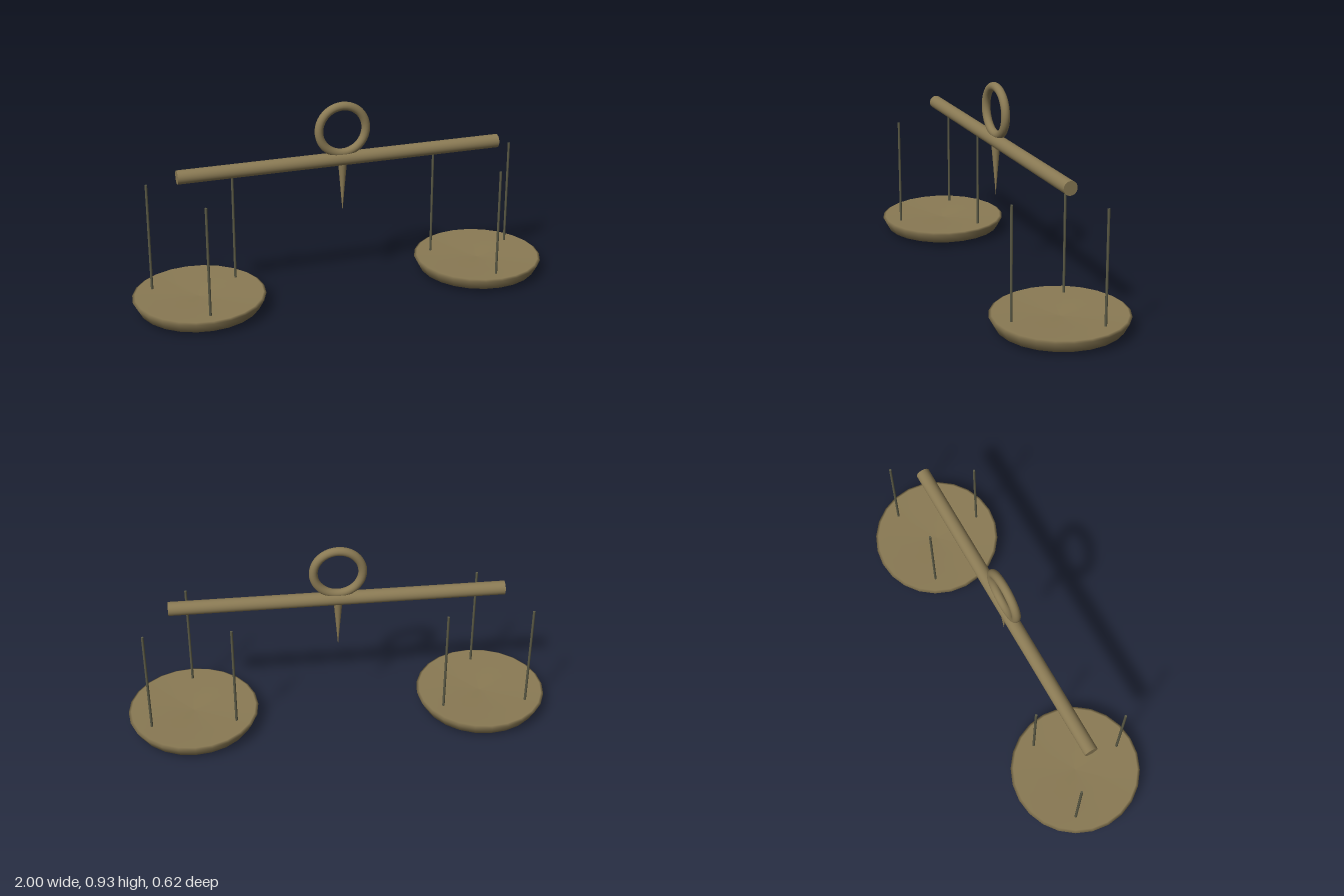
import * as THREE from 'three';

export function createModel() {
  const brass = new THREE.MeshStandardMaterial({ color: 0x8a7a54 });
  brass.name = 'aged brass';
  const iron = new THREE.MeshStandardMaterial({ color: 0x5a5945 });
  iron.name = 'dark iron';

  const model = new THREE.Group();
  model.name = 'balanceScale';

  const add = (parent, name, geometry, material, x, y, z) => {
    const mesh = new THREE.Mesh(geometry, material);
    mesh.name = name;
    mesh.position.set(x, y, z);
    parent.add(mesh);
    return mesh;
  };

  // Horizontal beam
  const beam = add(model, 'beam', new THREE.CylinderGeometry(0.032, 0.032, 1.54, 24), brass, 0, 0.653, 0);
  beam.rotation.z = Math.PI / 2;

  // Hanging ring above, tapered pointer below
  add(model, 'hangingRing', new THREE.TorusGeometry(0.112, 0.02, 16, 40), brass, 0, 0.793, 0);
  const pointer = add(model, 'pointer', new THREE.ConeGeometry(0.021, 0.25, 16), brass, 0, 0.515, 0);
  pointer.rotation.x = Math.PI;

  // Shallow dish profile: underside, flared wall, lip, sunken floor
  const profile = [
    [0, 0], [0.283, 0.02], [0.308, 0.067], [0.295, 0.074], [0, 0.058],
  ].map(([r, y]) => new THREE.Vector2(r, y));
  const panGeometry = new THREE.LatheGeometry(profile, 24);
  const rodGeometry = new THREE.CylinderGeometry(0.006, 0.006, 0.528, 8);

  // Two pans, each with three upright rods
  for (const side of [-1, 1]) {
    const panGroup = new THREE.Group();
    panGroup.name = side > 0 ? 'leftPan' : 'rightPan';
    panGroup.position.x = side * 0.692;
    add(panGroup, 'dish', panGeometry, brass, 0, 0, 0);
    for (let i = 0; i < 3; i++) {
      const a = Math.PI / 2 + (i * Math.PI * 2) / 3;
      add(panGroup, 'rod', rodGeometry, iron, 0.229 * Math.cos(a), 0.324, 0.229 * Math.sin(a));
    }
    model.add(panGroup);
  }
  return model;
}
